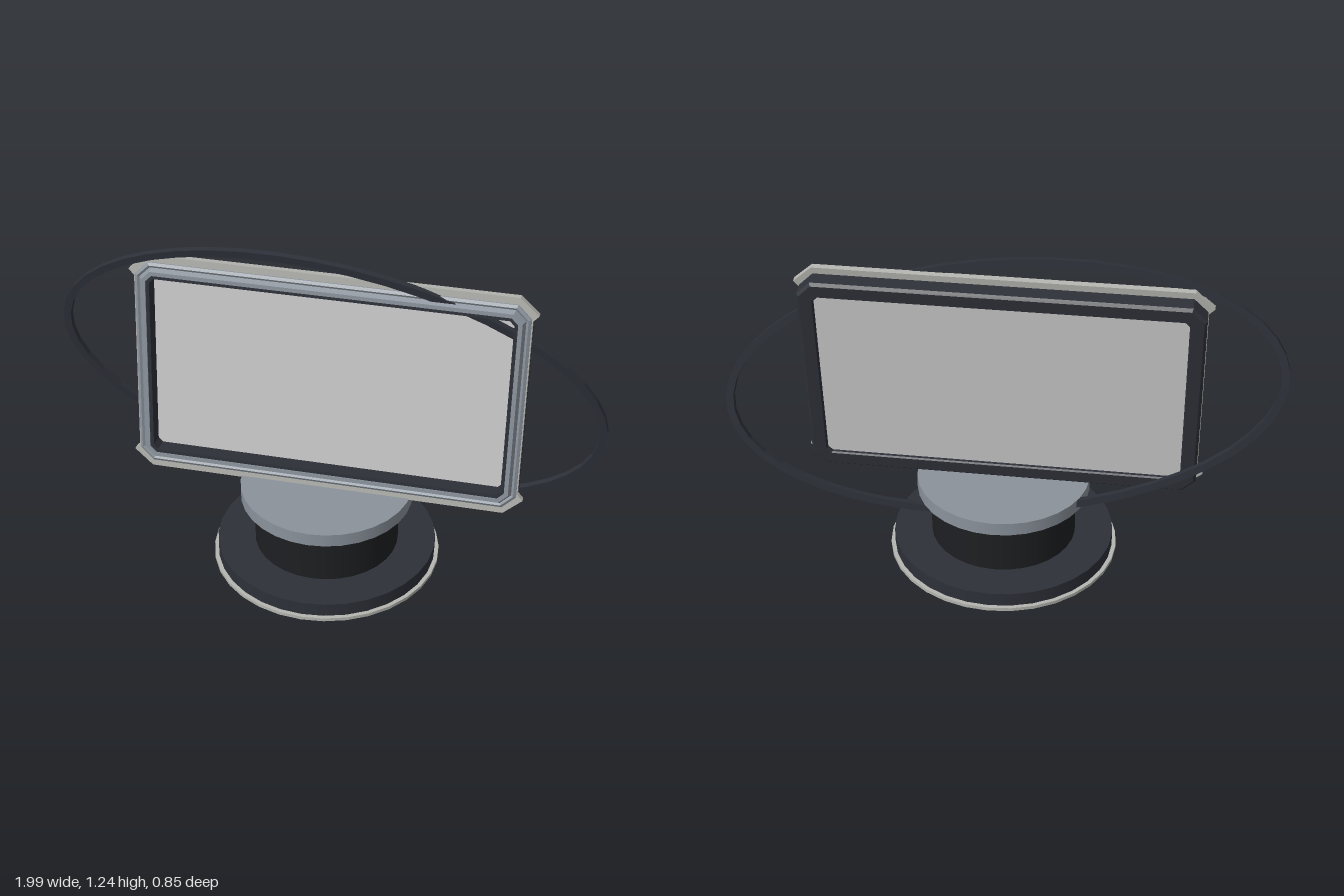
import * as THREE from 'three';

const DARK = 0x2d3038, BLACK = 0x1e1f22, STEEL = 0x8a929b, LIGHT = 0xb4b4b0, GREY = 0xcccccc;
const HALF_W = 0.703, HALF_H = 0.404, CHAMFER = 0.05;

function part(name, geometry, color, flat = false) {
  const mesh = new THREE.Mesh(geometry, new THREE.MeshStandardMaterial({ color, flatShading: flat }));
  mesh.name = name;
  return mesh;
}

function disc(name, radius, y0, y1, color) {
  const mesh = part(name, new THREE.CylinderGeometry(radius, radius, y1 - y0, 32), color);
  mesh.position.y = (y0 + y1) / 2;
  return mesh;
}

// Rectangle with cut corners, counter-clockwise, inset evenly from the frame's outline
function outline(inset) {
  const w = HALF_W - inset, h = HALF_H - inset, c = CHAMFER - inset * 0.586;
  return [[w, -h + c], [w, h - c], [w - c, h], [-w + c, h],
    [-w, h - c], [-w, -h + c], [-w + c, -h], [w - c, -h]].map(([x, y]) => new THREE.Vector2(x, y));
}

// Sweep a closed profile of [inset, z] points around the outline
function frameGeometry(profile) {
  const rings = profile.map(([inset, z]) => outline(inset).map(p => [p.x, p.y, z]));
  const positions = [];
  rings.forEach((ring, j) => {
    const next = rings[(j + 1) % rings.length];
    for (let i = 0; i < 8; i++) {
      const k = (i + 1) % 8;
      positions.push(...ring[i], ...ring[k], ...next[k], ...ring[i], ...next[k], ...next[i]);
    }
  });
  const geometry = new THREE.BufferGeometry();
  geometry.setAttribute('position', new THREE.Float32BufferAttribute(positions, 3));
  geometry.computeVertexNormals();
  return geometry;
}

function slab(shape, z0, z1, curveSegments = 1) {
  return new THREE.ExtrudeGeometry(shape, { depth: z1 - z0, bevelEnabled: false, curveSegments })
    .translate(0, 0, z0);
}

export function createModel() {
  const model = new THREE.Group();
  model.name = 'displayStand';

  // Round pedestal
  const pedestal = new THREE.Group();
  pedestal.name = 'pedestal';
  pedestal.add(
    disc('base', 0.408, 0, 0.07, DARK),
    disc('baseRim', 0.423, 0.005, 0.018, LIGHT),
    disc('column', 0.268, 0.07, 0.265, BLACK),
    disc('topPlate', 0.318, 0.265, 0.315, STEEL));
  model.add(pedestal);

  // Screen, leaning back
  const screen = new THREE.Group();
  screen.name = 'screen';
  screen.position.set(0, 0.735, -0.016);
  screen.rotation.x = -0.1;

  // Dark housing with an inner lip that reaches the front
  screen.add(part('housing', frameGeometry([
    [0.01, -0.076], [0, -0.066], [0, -0.005], [0.042, -0.005],
    [0.042, 0.03], [0.058, 0.03], [0.058, -0.07], [0.054, -0.076],
  ]), DARK, true));

  // Stepped front trim
  screen.add(part('frontTrim', frameGeometry([
    [0.002, -0.004], [0.002, 0.016], [0.012, 0.022], [0.02, 0.017],
    [0.03, 0.034], [0.045, 0.034], [0.045, -0.004],
  ]), STEEL, true));

  // Thin plate that shows along the top and bottom and flares at the corners
  const quarter = [[0.705, 0.345], [0.725, 0.367], [0.657, 0.428]];
  const corner = (sx, sy) => quarter.map(([x, y]) => new THREE.Vector2(x * sx, y * sy));
  const plate = new THREE.Shape([
    ...corner(1, 1), ...corner(-1, 1).reverse(), ...corner(-1, -1), ...corner(1, -1).reverse()]);
  plate.holes.push(new THREE.Path(outline(0.05)));
  screen.add(part('cornerPlate', slab(plate, -0.0115, 0.0115), LIGHT, true));

  // Panel, set deeper from the front than from the back
  screen.add(part('panel', slab(new THREE.Shape(outline(0.056)), -0.06, -0.028), GREY, true));
  model.add(screen);

  // Elliptical hoop around the screen, leaning forward
  const hoopShape = new THREE.Shape().absellipse(0, 0, 1.005, 0.495, 0, Math.PI * 2, false, -0.157);
  hoopShape.holes.push(new THREE.Path().absellipse(0, 0, 0.977, 0.467, 0, Math.PI * 2, true, -0.157));
  const hoop = part('hoop', slab(hoopShape, -0.011, 0.011, 24), DARK);
  hoop.position.set(0, 0.725, -0.084);
  hoop.rotation.x = 0.105;
  model.add(hoop);

  return model;
}
